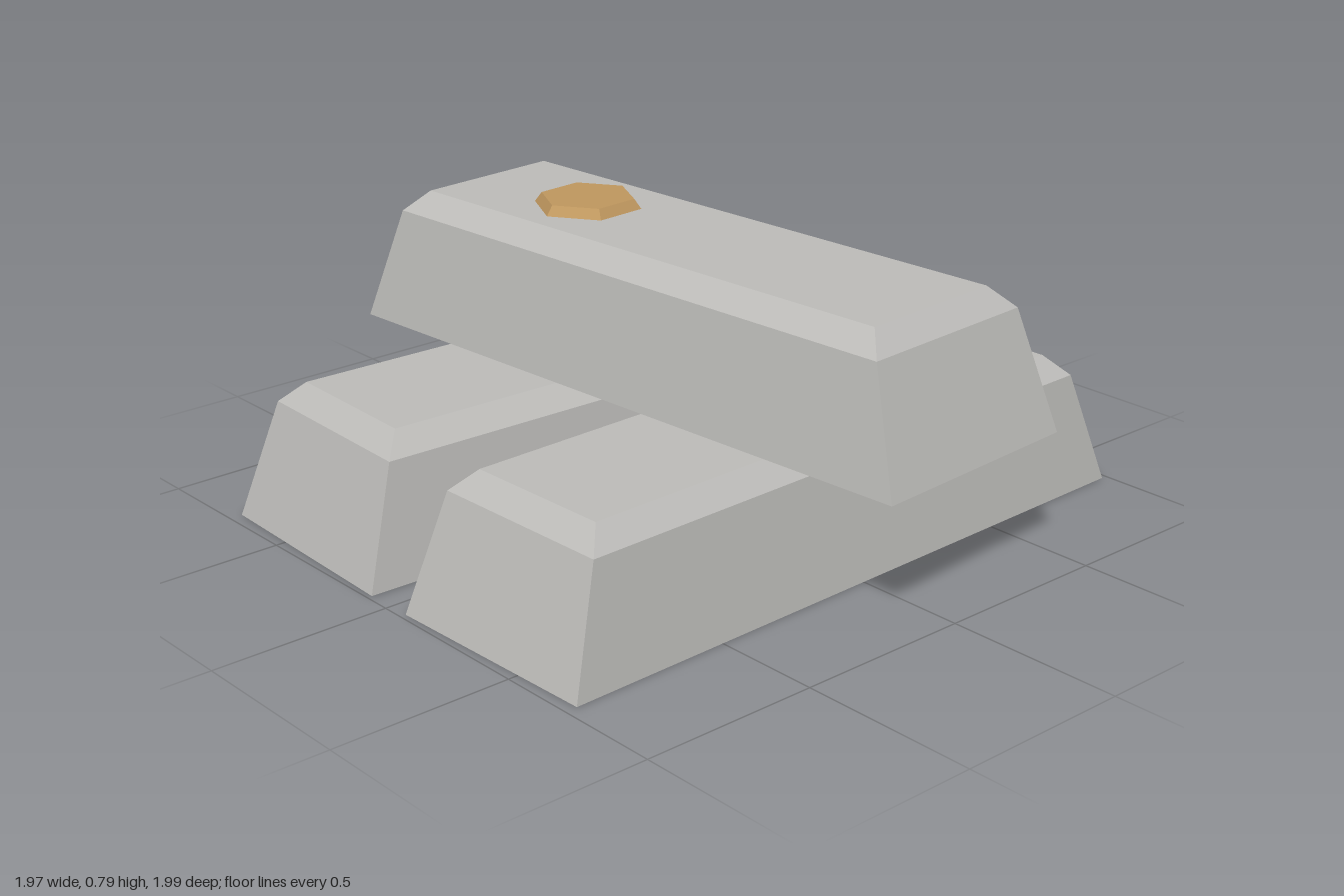
import * as THREE from 'three';

const BAR_HEIGHT = 0.38;

// Bar cross-sections from bottom to top: [height, half length, half width]
const LEVELS = [
  [0, 0.975, 0.325],
  [0.322, 0.872, 0.272],
  [BAR_HEIGHT, 0.815, 0.215],
];

// Tapered ingot with a bevelled top edge, its length along x
function barGeometry() {
  const box = new THREE.BoxGeometry(2, 2, 2, 1, 2, 1);
  const pos = box.attributes.position;
  for (let i = 0; i < pos.count; i++) {
    const [y, halfLength, halfWidth] = LEVELS[Math.round(pos.getY(i)) + 1];
    pos.setXYZ(i, pos.getX(i) * halfLength, y, pos.getZ(i) * halfWidth);
  }
  const flat = box.toNonIndexed();
  flat.computeVertexNormals();
  return flat;
}

export function createModel() {
  const silver = new THREE.MeshStandardMaterial({ color: 0xbebdba });
  silver.name = 'silver';
  const bronze = new THREE.MeshStandardMaterial({ color: 0xc0985f });
  bronze.name = 'bronze';

  const model = new THREE.Group();
  model.name = 'ingotStack';
  const geometry = barGeometry();

  // Two bars side by side, one laid across them: name, x, y, z, turn
  const bars = [
    ['frontBar', 0, 0, 0.361, 0.027],
    ['backBar', 0, 0, -0.37, -0.036],
    ['topBar', 0.025, BAR_HEIGHT, -0.003, 0.069 - Math.PI / 2],
  ];
  for (const [name, x, y, z, turn] of bars) {
    const bar = new THREE.Mesh(geometry, silver);
    bar.name = name;
    bar.position.set(x, y, z);
    bar.rotation.y = turn;
    model.add(bar);
  }

  // Hexagonal stamp on the top bar
  const stampGeometry = new THREE.CylinderGeometry(0.133, 0.155, 0.03, 6, 1, false, Math.PI / 2).toNonIndexed();
  stampGeometry.computeVertexNormals();
  const stamp = new THREE.Mesh(stampGeometry, bronze);
  stamp.name = 'hexStamp';
  stamp.position.set(-0.004, 2 * BAR_HEIGHT + 0.012, -0.4);
  stamp.rotation.y = 0.069;
  model.add(stamp);

  return model;
}
